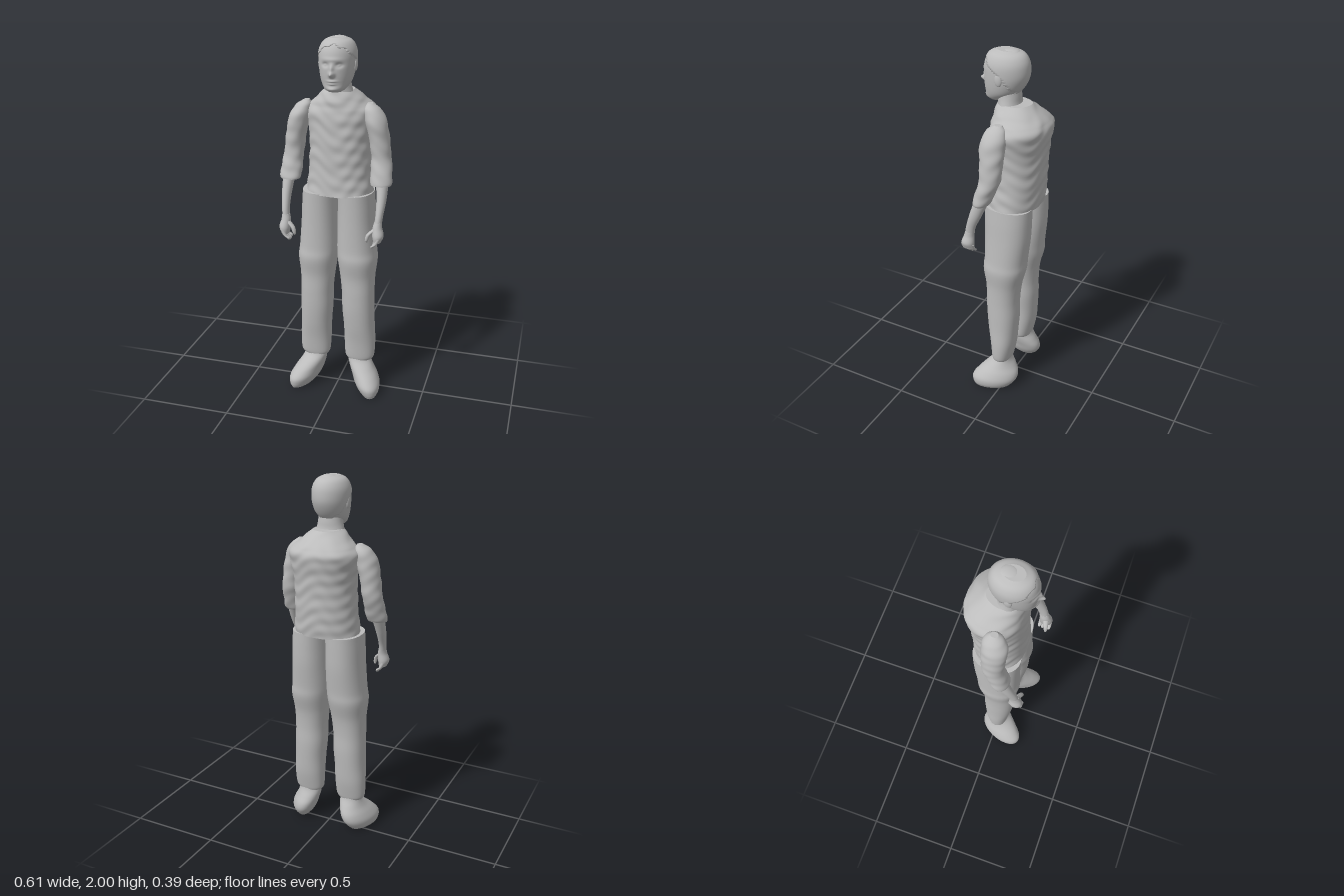
import * as THREE from 'three';

const grey = new THREE.MeshStandardMaterial({ color: 0xbcbcbc });
grey.name = 'plain grey';

// Stacks ellipse rings [y, centreX, centreZ, radiusX, radiusZ] (bottom to top) into a smooth capped body.
// opts: power (squareness), yaw, mirror (-1 flips x), rule(point, outward) to shape details.
function loft(name, rings, { segs = 32, rows = 32, power = 2, yaw = 0, mirror = 1, rule } = {}) {
  const centre = new THREE.CatmullRomCurve3(rings.map(r => new THREE.Vector3(r[1] * mirror, r[0], r[2])), false, 'catmullrom');
  const radius = new THREE.CatmullRomCurve3(rings.map(r => new THREE.Vector3(r[3], r[4], 0)), false, 'catmullrom');
  const pos = [], index = [];
  const round = v => Math.sign(v) * Math.abs(v) ** (2 / power);
  for (let i = 0; i <= rows; i++) {
    const c = centre.getPoint(i / rows), r = radius.getPoint(i / rows);
    for (let j = 0; j < segs; j++) {
      const a = j / segs * Math.PI * 2;
      const out = new THREE.Vector3(Math.sin(a), 0, Math.cos(a));
      const p = new THREE.Vector3(round(out.x) * Math.max(r.x, 0.001), 0, round(out.z) * Math.max(r.y, 0.001));
      p.applyAxisAngle(new THREE.Vector3(0, 1, 0), yaw * mirror).add(c);
      if (rule) rule(p, out);
      pos.push(p.x, p.y, p.z);
      if (i < rows) {
        const k = (j + 1) % segs, b = i * segs, t = b + segs;
        index.push(b + j, b + k, t + k, b + j, t + k, t + j);
      }
    }
  }
  // End caps with their own vertices so that hems stay crisp
  for (const [row, up] of [[0, false], [rows, true]]) {
    const start = pos.length / 3, c = centre.getPoint(row / rows);
    pos.push(c.x, c.y, c.z);
    for (let j = 0; j < segs; j++) {
      const o = (row * segs + j) * 3;
      pos.push(pos[o], pos[o + 1], pos[o + 2]);
      const a = start + 1 + j, b = start + 1 + (j + 1) % segs;
      index.push(start, ...(up ? [a, b] : [b, a]));
    }
  }
  const g = new THREE.BufferGeometry();
  g.setAttribute('position', new THREE.Float32BufferAttribute(pos, 3));
  g.setIndex(index);
  g.computeVertexNormals();
  const mesh = new THREE.Mesh(g, grey);
  mesh.name = name;
  return mesh;
}

function ellipsoid(name, x, y, z, sx, sy, sz) {
  const mesh = new THREE.Mesh(new THREE.SphereGeometry(1, 24, 16), grey);
  mesh.name = name;
  mesh.position.set(x, y, z);
  mesh.scale.set(sx, sy, sz);
  return mesh;
}

// Soft cloth folds
const folds = amount => (p, out) => {
  const w = Math.sin(p.y * 75 + 2.5 * Math.sin(p.x * 22 + p.z * 9)) * Math.sin(p.x * 31 - p.z * 27 + p.y * 14);
  p.addScaledVector(out, amount * w);
};

const HEAD_X = 0.009;
const headRings = [
  [1.735, HEAD_X, 0.1, 0.035, 0.035], [1.75, HEAD_X, 0.093, 0.055, 0.062],
  [1.78, HEAD_X, 0.07, 0.075, 0.087], [1.82, HEAD_X, 0.056, 0.087, 0.106],
  [1.87, HEAD_X, 0.046, 0.094, 0.118], [1.92, HEAD_X, 0.043, 0.094, 0.117],
  [1.955, HEAD_X, 0.042, 0.084, 0.106], [1.98, HEAD_X, 0.042, 0.066, 0.085],
  [1.995, HEAD_X, 0.043, 0.036, 0.048]
];

// Face relief: [x, y, depth, width, height]
const face = [
  [0, 1.828, 0.029, 0.013, 0.013], [0, 1.855, 0.013, 0.01, 0.02],
  [0, 1.793, 0.007, 0.024, 0.006], [0, 1.779, 0.006, 0.02, 0.005],
  [0, 1.752, 0.008, 0.024, 0.011], [0, 1.9, 0.004, 0.05, 0.01],
  [-0.036, 1.873, -0.012, 0.017, 0.011], [0.036, 1.873, -0.012, 0.017, 0.011],
  [-0.036, 1.872, 0.006, 0.009, 0.005], [0.036, 1.872, 0.006, 0.009, 0.005]
];
function faceRule(p, out) {
  if (out.z <= 0) return;
  let d = 0;
  for (const [x, y, depth, w, h] of face)
    d += depth * Math.exp(-(((p.x - HEAD_X - x) / w) ** 2) - ((p.y - y) / h) ** 2);
  p.z += d * Math.min(1, out.z * 2);
}

// Hair lies just over the skull above the hairline and sinks inside below it
function hairRule(p, out) {
  const line = 1.87 + 0.095 * out.z + 0.006 * Math.sin(p.x * 130);
  p.addScaledVector(out, p.y > line ? 0.004 : -0.012);
}

function createHead() {
  const head = new THREE.Group();
  head.name = 'head';
  head.add(
    loft('face', headRings, { segs: 128, rows: 90, rule: faceRule }),
    loft('hair', headRings, { segs: 64, rows: 60, rule: hairRule }),
    ellipsoid('hairKnot', HEAD_X, 1.985, 0.02, 0.04, 0.015, 0.045),
    loft('neck', [[1.68, 0.008, 0.02, 0.09, 0.07], [1.73, 0.008, 0.026, 0.074, 0.06],
      [1.77, 0.008, 0.03, 0.066, 0.06], [1.83, 0.008, 0.035, 0.062, 0.058]])
  );
  for (const s of [-1, 1])
    head.add(ellipsoid('ear', HEAD_X + s * 0.092, 1.865, 0.045, 0.01, 0.034, 0.02));
  return head;
}

function createArm(mirror) {
  const arm = new THREE.Group();
  arm.name = mirror > 0 ? 'leftArm' : 'rightArm';
  arm.add(
    loft('sleeve', [[1.25, 0.247, 0.072, 0.054, 0.042], [1.265, 0.247, 0.066, 0.058, 0.046],
      [1.31, 0.244, 0.05, 0.057, 0.05], [1.39, 0.237, 0.025, 0.053, 0.056],
      [1.5, 0.222, 0.022, 0.054, 0.063], [1.58, 0.203, 0.022, 0.056, 0.067],
      [1.635, 0.184, 0.015, 0.044, 0.052], [1.665, 0.17, 0.01, 0.016, 0.02]],
    { mirror, rows: 60, rule: folds(0.002) }),
    loft('forearm', [[1.04, 0.25, 0.145, 0.02, 0.025], [1.1, 0.255, 0.132, 0.02, 0.027],
      [1.18, 0.258, 0.1, 0.026, 0.034], [1.28, 0.253, 0.06, 0.034, 0.04]], { mirror }),
    loft('palm', [[0.965, 0.252, 0.153, 0.02, 0.033], [1.0, 0.255, 0.153, 0.03, 0.036],
      [1.04, 0.25, 0.147, 0.025, 0.029], [1.07, 0.252, 0.14, 0.02, 0.026]], { mirror }),
    loft('thumb', [[0.962, 0.198, 0.167, 0.004, 0.004], [0.975, 0.198, 0.17, 0.009, 0.009],
      [1.005, 0.208, 0.166, 0.012, 0.013], [1.035, 0.24, 0.155, 0.014, 0.015]], { mirror, segs: 16, rows: 16 })
  );
  for (let k = 0; k < 4; k++) {
    const z = 0.126 + 0.018 * k, y = 0.006 * Math.abs(k - 1.5);
    arm.add(loft('finger', [[0.926 + y, 0.226, z, 0.003, 0.003], [0.937 + y, 0.231, z, 0.009, 0.009],
      [0.96, 0.248, z, 0.01, 0.01], [0.99, 0.262, z, 0.012, 0.01]], { mirror, segs: 16, rows: 16 }));
  }
  return arm;
}

function createLeg(mirror) {
  const leg = new THREE.Group();
  leg.name = mirror > 0 ? 'leftLeg' : 'rightLeg';
  leg.add(
    loft('trouserLeg', [[0.185, 0.128, 0.015, 0.072, 0.05], [0.21, 0.13, 0.014, 0.084, 0.056],
      [0.3, 0.129, 0.01, 0.088, 0.07], [0.4, 0.125, 0.013, 0.087, 0.082], [0.5, 0.12, 0.015, 0.09, 0.09],
      [0.6, 0.118, 0.017, 0.09, 0.092], [0.7, 0.114, 0.013, 0.096, 0.098], [0.8, 0.112, 0.008, 0.108, 0.118],
      [0.87, 0.106, 0.003, 0.107, 0.118], [1.0, 0.102, -0.005, 0.102, 0.125],
      [1.1, 0.1, -0.007, 0.099, 0.128], [1.185, 0.097, -0.007, 0.096, 0.13]],
    { mirror, rows: 72, power: 2.2 }),
    loft('shoe', [[0, 0.195, 0.062, 0.046, 0.1], [0.025, 0.19, 0.055, 0.063, 0.118],
      [0.06, 0.18, 0.045, 0.073, 0.13], [0.1, 0.163, 0.031, 0.072, 0.116],
      [0.14, 0.143, 0.022, 0.068, 0.086], [0.18, 0.13, 0.015, 0.064, 0.055],
      [0.22, 0.13, 0.012, 0.055, 0.045]], { mirror, yaw: 0.33 })
  );
  return leg;
}

export function createModel() {
  const model = new THREE.Group();
  model.name = 'standingFigure';
  model.add(
    createHead(),
    loft('shirt', [[1.178, 0.006, -0.01, 0.182, 0.14], [1.3, 0.006, -0.02, 0.17, 0.142],
      [1.45, 0.007, -0.025, 0.166, 0.146], [1.55, 0.008, -0.033, 0.178, 0.15],
      [1.615, 0.008, -0.04, 0.188, 0.153], [1.65, 0.008, -0.035, 0.163, 0.14],
      [1.68, 0.008, -0.022, 0.13, 0.125], [1.71, 0.008, -0.008, 0.1, 0.1],
      [1.73, 0.008, 0, 0.074, 0.087]],
    { segs: 80, rows: 100, power: 2.15, rule: folds(0.003) })
  );
  for (const side of [-1, 1]) model.add(createArm(side), createLeg(side));
  return model;
}
